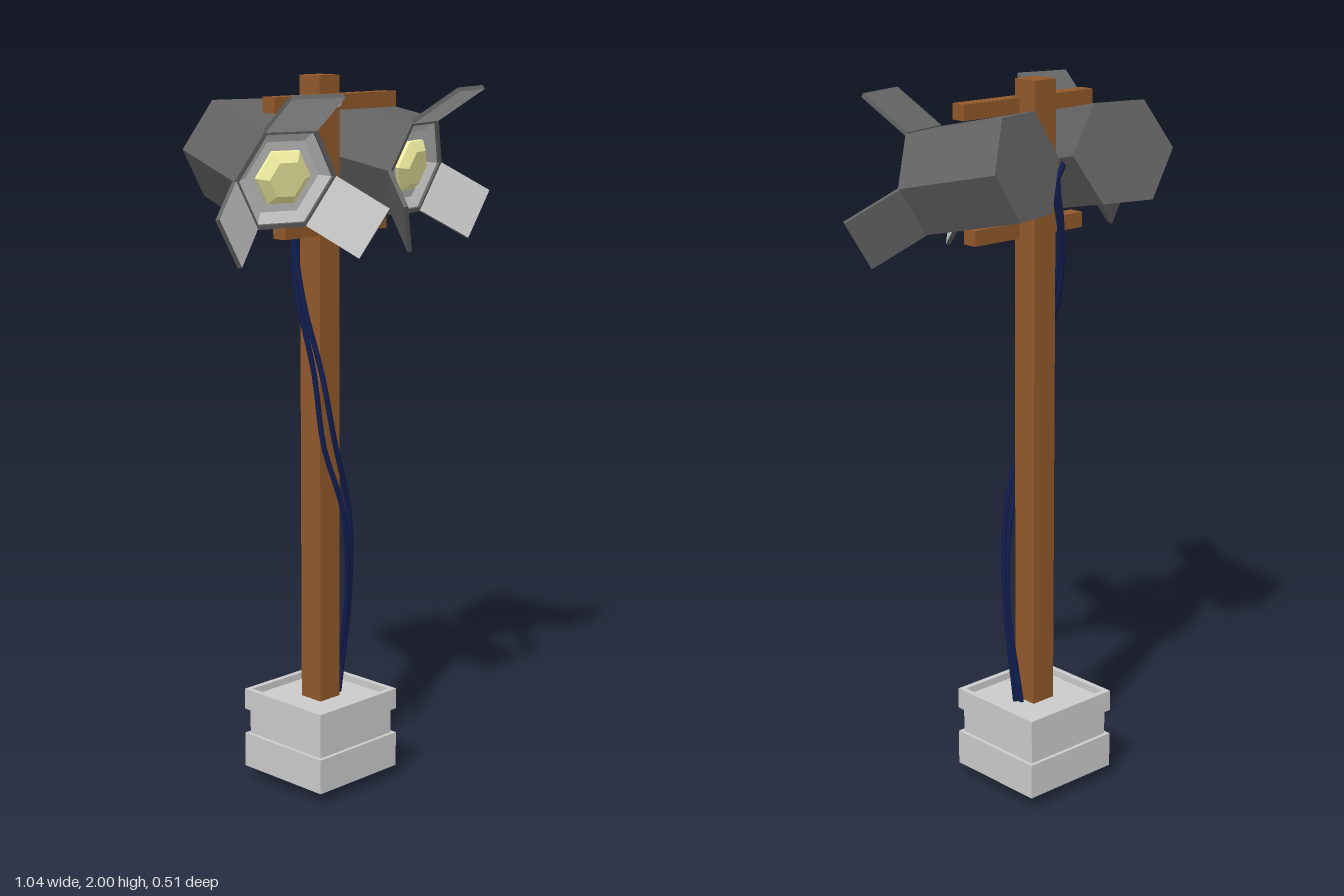
import * as THREE from 'three';

const mat = (color) => new THREE.MeshStandardMaterial({ color, flatShading: true });
const grey = mat(0xcccccc);
const dark = mat(0x646464);
const wood = mat(0x91592a);
const yellow = mat(0xf6f3a4);
const navy = mat(0x101c4c);

const POST_Z = -0.057;

function add(parent, name, geometry, material, x = 0, y = 0, z = 0) {
  const mesh = new THREE.Mesh(geometry, material);
  mesh.name = name;
  mesh.position.set(x, y, z);
  parent.add(mesh);
  return mesh;
}

// Six-sided turned shape along +z, corners at left and right
function hexLathe(points) {
  const profile = points.map(([r, h]) => new THREE.Vector2(r, h));
  return new THREE.LatheGeometry(profile, 6, Math.PI / 6).rotateX(Math.PI / 2);
}

function squareShape(Type, h) {
  return new Type([[-h, -h], [h, -h], [h, h], [-h, h]].map(([x, y]) => new THREE.Vector2(x, y)));
}

// Lamp: origin at the centre of its front rim, shining along +z
function createLamp(name, side) {
  const lamp = new THREE.Group();
  lamp.name = name;
  add(lamp, 'lampHousing', hexLathe([[0, -0.3], [0.152, -0.3], [0.152, 0], [0.138, 0], [0.138, -0.012]]), dark);
  add(lamp, 'reflector', hexLathe([[0.138, -0.008], [0.108, -0.025], [0, -0.025]]), grey);
  add(lamp, 'bulb', hexLathe([[0.08, -0.026], [0.08, -0.016], [0.052, 0.004], [0, 0.004]]), yellow);

  // Three splayed doors, pale on the inside
  const doorGeometry = new THREE.BoxGeometry(0.152, 0.165, 0.012).translate(0, 0.0825, 0);
  for (let i = 0; i < 3; i++) {
    const hinge = new THREE.Group();
    hinge.name = 'doorHinge';
    hinge.rotation.z = i * Math.PI * 2 / 3;
    const door = add(hinge, 'barnDoor', doorGeometry, [dark, dark, dark, dark, grey, dark], 0, 0.13, -0.003);
    door.rotation.x = Math.PI / 4;
    lamp.add(hinge);
  }

  lamp.rotation.order = 'YXZ';
  lamp.rotation.set(THREE.MathUtils.degToRad(12), THREE.MathUtils.degToRad(15 * side), 0);
  lamp.position.set(0.248 * side, 1.746, 0.071);
  return lamp;
}

export function createModel() {
  const model = new THREE.Group();
  model.name = 'floodlightPost';

  // Weighted base with a raised rim
  const base = new THREE.Group();
  base.name = 'base';
  base.position.z = POST_Z;
  add(base, 'baseFoot', new THREE.BoxGeometry(0.306, 0.1, 0.306), grey, 0, 0.087, 0);
  add(base, 'baseCore', new THREE.BoxGeometry(0.284, 0.115, 0.284), grey, 0, 0.1925, 0);
  const rim = squareShape(THREE.Shape, 0.153);
  rim.holes.push(squareShape(THREE.Path, 0.137));
  add(base, 'baseRim', new THREE.ExtrudeGeometry(rim, { depth: 0.06, bevelEnabled: false }).rotateX(-Math.PI / 2),
    grey, 0, 0.21, 0);
  model.add(base);

  // Post and bolted crossbars
  add(model, 'post', new THREE.BoxGeometry(0.076, 2, 0.076), wood, 0, 1, POST_Z);
  for (const [label, y, width] of [['upper', 1.93, 0.46], ['lower', 1.6, 0.39]]) {
    add(model, label + 'Crossbar', new THREE.BoxGeometry(width, 0.042, 0.044), wood, 0, y, -0.014);
    add(model, label + 'Bolt', new THREE.CylinderGeometry(0.013, 0.013, 0.02, 6).rotateX(Math.PI / 2),
      grey, 0, y, 0.004);
  }

  model.add(createLamp('leftLamp', 1), createLamp('rightLamp', -1));

  // Two cables winding round the post from the lamps to the base
  const cables = [
    [[0.06, 0.24, -0.045], [0.064, 0.55, -0.005], [0.042, 0.8, 0.015], [-0.02, 1.0, 0.022], [-0.05, 1.2, 0.0],
      [-0.062, 1.4, -0.06], [-0.05, 1.58, -0.102], [0.0, 1.75, -0.108], [0.1, 1.9, -0.115]],
    [[0.052, 0.24, -0.06], [0.05, 0.55, 0.0], [0.012, 0.8, 0.022], [-0.042, 1.0, -0.002], [-0.06, 1.2, -0.02],
      [-0.068, 1.45, -0.085], [-0.05, 1.62, -0.106], [-0.035, 1.75, -0.108], [-0.09, 1.82, -0.115]],
  ];
  for (const points of cables) {
    const curve = new THREE.CatmullRomCurve3(points.map((p) => new THREE.Vector3(...p)));
    add(model, 'cable', new THREE.TubeGeometry(curve, 32, 0.008, 6), navy);
  }

  return model;
}
